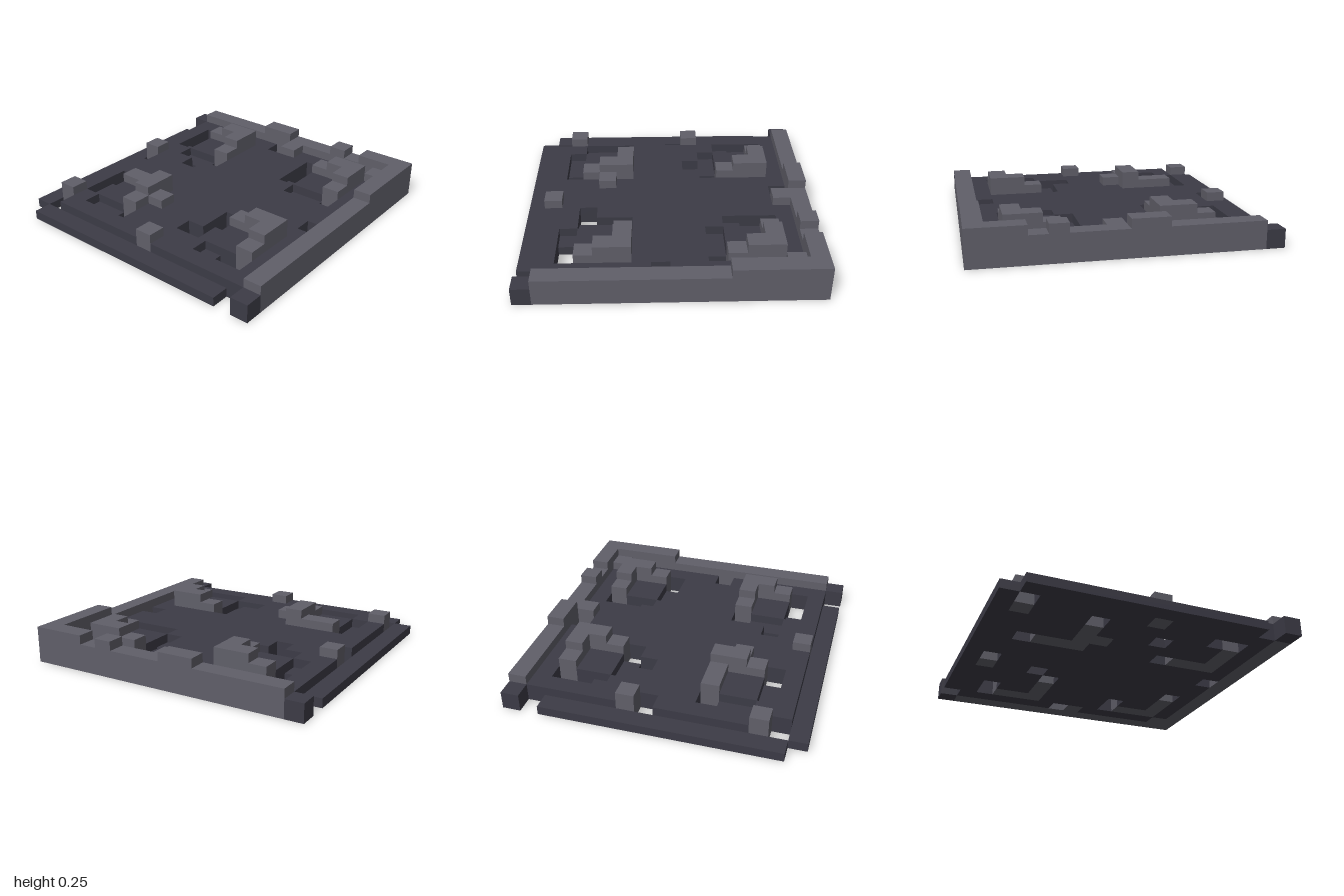
import * as THREE from 'three';
import { mergeGeometries } from 'three/addons/utils/BufferGeometryUtils.js';

const CELL = 0.125; // plan size of one block
const STEP = 0.0625; // height of one level

// Height levels of the tile, back row first; 0 is a hole
const LEVELS = [
  '0111111111111102',
  '1032222203222223',
  '1221102222210023',
  '1212232222122323',
  '1212232220122423',
  '1203442222034423',
  '1222322222222224',
  '1222222222222204',
  '1322222222222233',
  '1220222222222223',
  '1221102222210023',
  '1212232222122324',
  '1202242222122423',
  '1203442222034424',
  '0222222022222234',
  '2333333333344444',
];

// One block covering w by d cells, standing on the ground
function block(col, row, w, d, level) {
  const h = level * STEP;
  return new THREE.BoxGeometry(w * CELL, h, d * CELL)
    .translate(-1 + (col + w / 2) * CELL, h / 2, -1 + (row + d / 2) * CELL);
}

// Cover all cells of a level with as few rectangular blocks as is simple
function blocksOfLevel(level) {
  const open = LEVELS.map((line) => [...line].map((ch) => Number(ch) === level));
  const blocks = [];
  for (let r = 0; r < 16; r++) {
    for (let c = 0; c < 16; c++) {
      if (!open[r][c]) continue;
      let w = 1;
      while (c + w < 16 && open[r][c + w]) w++;
      let d = 1;
      while (r + d < 16 && open[r + d].slice(c, c + w).every(Boolean)) d++;
      for (let i = 0; i < d; i++) open[r + i].fill(false, c, c + w);
      blocks.push(block(c, r, w, d, level));
    }
  }
  return mergeGeometries(blocks);
}

export function createModel() {
  const darkStone = new THREE.MeshStandardMaterial({ color: 0x3c3b46 });
  darkStone.name = 'darkStone';
  const lightStone = new THREE.MeshStandardMaterial({ color: 0x605f69 });
  lightStone.name = 'lightStone';

  const parts = [
    ['sunkenEdgesAndPits', 1, darkStone],
    ['floorPlate', 2, darkStone],
    ['lowRimAndStuds', 3, lightStone],
    ['highRimAndStuds', 4, lightStone],
  ];

  const model = new THREE.Group();
  model.name = 'floorTile';
  for (const [name, level, material] of parts) {
    const mesh = new THREE.Mesh(blocksOfLevel(level), material);
    mesh.name = name;
    model.add(mesh);
  }
  return model;
}
